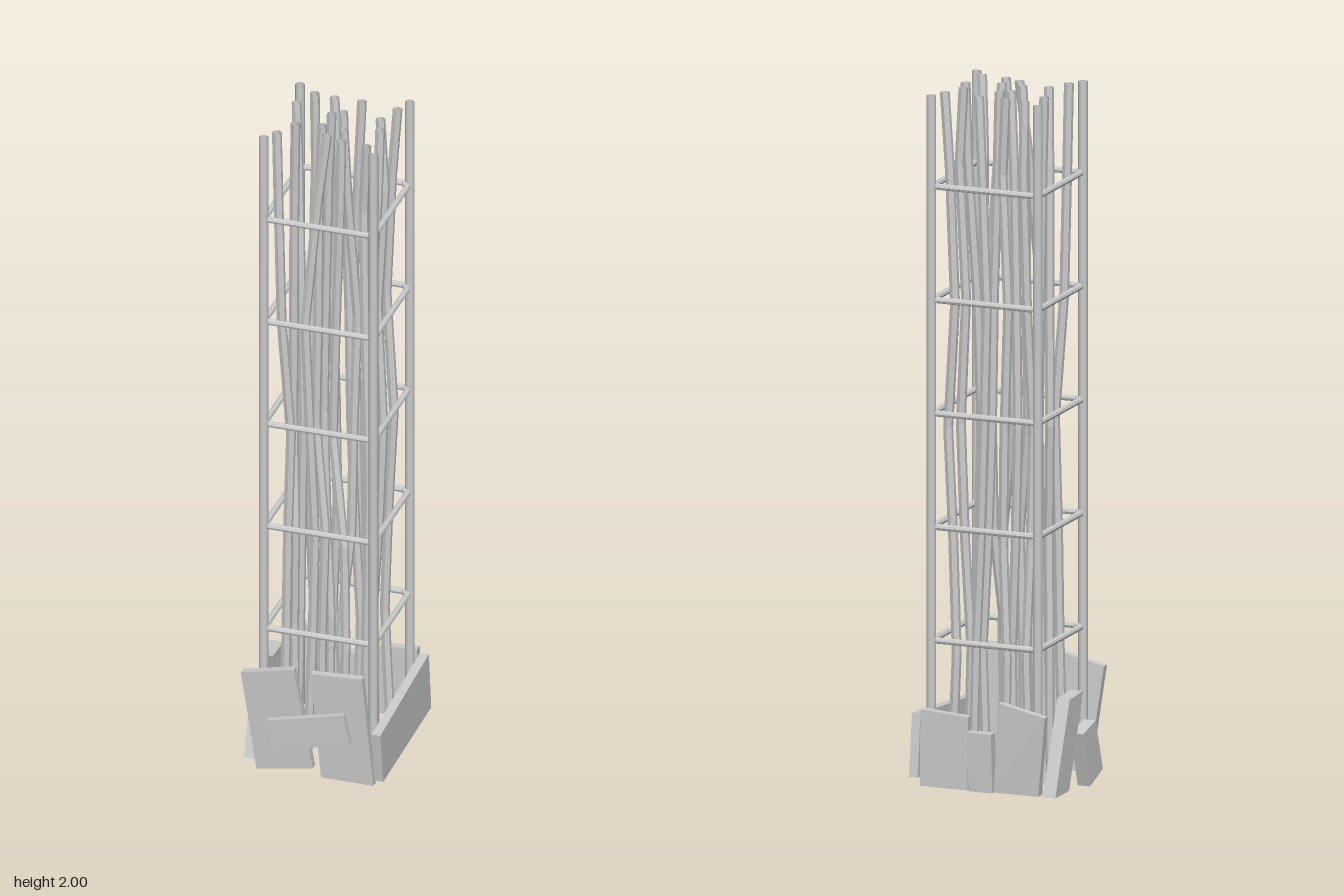
import * as THREE from 'three';

const solid = new THREE.MeshStandardMaterial({ color: 0xcccccc, flatShading: true });
const open = new THREE.MeshStandardMaterial({ color: 0xcccccc, flatShading: true, side: THREE.DoubleSide });
const round = new THREE.MeshStandardMaterial({ color: 0xcccccc, side: THREE.DoubleSide });

function add(parent, name, geometry, material) {
  const mesh = new THREE.Mesh(geometry, material);
  mesh.name = name;
  parent.add(mesh);
  return mesh;
}

// Crooked rod: each ring of an open cylinder is moved onto one point of the path
function rod(points, radius) {
  const n = points.length - 1;
  const g = new THREE.CylinderGeometry(radius, radius, 1, 6, n, true);
  const p = g.attributes.position;
  for (let i = 0; i < p.count; i++) {
    const c = points[Math.round((p.getY(i) + 0.5) * n)];
    p.setXYZ(i, p.getX(i) + c.x, c.y, p.getZ(i) + c.z);
  }
  g.computeVertexNormals();
  return g;
}

// Square hoop with clipped corners: an eight-part torus pushed onto the outline
function hoop(half, clip, radius) {
  const g = new THREE.TorusGeometry(1, radius, 8, 8);
  g.rotateZ(Math.PI / 8);
  const p = g.attributes.position;
  const snap = v => Math.sign(v) * (Math.abs(v) > 0.7 ? half : half - clip);
  for (let i = 0; i < p.count; i++) {
    const x = p.getX(i), y = p.getY(i), r = Math.hypot(x, y);
    const c = x / r, s = y / r, d = (r - 1) / Math.cos(Math.PI / 8);
    p.setXYZ(i, snap(c) + c * d, snap(s) + s * d, p.getZ(i));
  }
  g.rotateX(-Math.PI / 2);
  g.computeVertexNormals();
  return g;
}

// Plank: outer face corners [across, up] in order top left, top right,
// bottom right, bottom left; outTop and outBottom give its lean
function plank(corners, outTop, outBottom, thickness) {
  const g = new THREE.BoxGeometry(1, 1, 1);
  const p = g.attributes.position;
  for (let i = 0; i < p.count; i++) {
    const right = p.getX(i) > 0, top = p.getY(i) > 0;
    const [u, v] = corners[top ? (right ? 1 : 0) : (right ? 2 : 3)];
    p.setXYZ(i, u, v, (top ? outTop : outBottom) - (p.getZ(i) > 0 ? 0 : thickness));
  }
  g.computeVertexNormals();
  return g;
}

export function createModel() {
  const model = new THREE.Group();
  model.name = 'reinforcedColumn';

  // Cage of four posts and five hoops
  const cage = new THREE.Group();
  cage.name = 'cage';
  cage.position.set(0.002, 0, -0.012);
  model.add(cage);
  for (const x of [-1, 1]) for (const z of [-1, 1]) {
    const post = add(cage, 'cornerPost', new THREE.CylinderGeometry(0.0135, 0.0135, 1.97, 10, 1, true), round);
    post.position.set(x * 0.161, 1.015, z * 0.161);
  }
  for (let i = 0; i < 5; i++) {
    add(cage, 'hoop', hoop(0.16, 0.017, 0.009), solid).position.y = 0.44 + i * 0.325;
  }

  // Bent rods: two ends of the sway [x, z, x, z] and the sway at each level, 0 to 9
  const levels = [0.03, 0.4, 0.72, 1.04, 1.4, 1.78, 2];
  const rods = [
    [-0.12, -0.115, -0.10, -0.145, '3620587'],
    [-0.055, -0.14, -0.03, -0.12, '5286094'],
    [0.005, -0.15, 0.06, -0.12, '9742035'],
    [0.095, -0.14, 0.15, -0.12, '4136258'],
    [-0.135, -0.07, -0.105, -0.04, '2579630'],
    [-0.055, -0.07, -0.022, -0.04, '6830259'],
    [0.005, -0.06, 0.06, -0.05, '7964310'],
    [0.09, -0.06, 0.13, -0.05, '2058496'],
    [-0.12, 0.005, -0.10, 0.045, '6480259'],
    [-0.05, 0.015, -0.015, 0.038, '4690236'],
    [0.03, 0.045, 0.07, 0.01, '3067942'],
    [0.08, 0.02, 0.135, 0.005, '7532489'],
    [-0.133, 0.11, -0.095, 0.1, '4679310'],
    [-0.055, 0.095, 0.005, 0.082, '1342059'],
    [0.02, 0.075, 0.07, 0.115, '7980256'],
    [0.11, 0.082, 0.138, 0.12, '3589416'],
  ];
  for (const [x0, z0, x1, z1, sway] of rods) {
    const points = levels.map((y, i) => {
      const t = sway[i] / 9;
      return new THREE.Vector3(x0 + (x1 - x0) * t, y, z0 + (z1 - z0) * t);
    });
    add(model, 'bentRod', rod(points, 0.014), open);
  }

  // Planks around the foot, each side turned to face outward
  const sides = [
    ['frontPlank', 0, [
      [[[-0.207, 0.32], [-0.052, 0.355], [-0.002, 0.04], [-0.167, 0.01]], 0.207, 0.188, 0.022],
      [[[-0.002, 0.35], [0.148, 0.358], [0.176, 0.015], [0.022, 0.015]], 0.207, 0.188, 0.022],
      [[[-0.13, 0.185], [0.097, 0.24], [0.115, 0.15], [-0.113, 0.09]], 0.218, 0.214, 0.02],
    ]],
    ['leftPlank', Math.PI / 2, [
      [[[-0.227, 0.2], [0.203, 0.235], [0.224, 0.055], [-0.2, 0.04]], 0.209, 0.209, 0.026],
    ]],
    ['backPlank', Math.PI, [
      [[[0.06, 0.29], [0.2, 0.26], [0.175, 0.03], [0.04, 0.03]], 0.22, 0.207, 0.023],
      [[[-0.034, 0.2], [0.041, 0.2], [0.041, 0.03], [-0.03, 0.03]], 0.229, 0.22, 0.03],
      [[[-0.178, 0.25], [-0.034, 0.24], [-0.036, 0.03], [-0.18, 0.03]], 0.216, 0.214, 0.024],
    ]],
    ['rightPlank', -Math.PI / 2, [
      [[[-0.066, 0.28], [0.03, 0.285], [-0.07, 0.02], [-0.168, 0.02]], 0.21, 0.21, 0.038],
      [[[0.03, 0.16], [0.12, 0.18], [0.171, 0.03], [0.08, 0.0]], 0.21, 0.21, 0.038],
    ]],
  ];
  for (const [name, turn, list] of sides) {
    for (const spec of list) add(model, name, plank(...spec), solid).rotation.y = turn;
  }
  return model;
}
